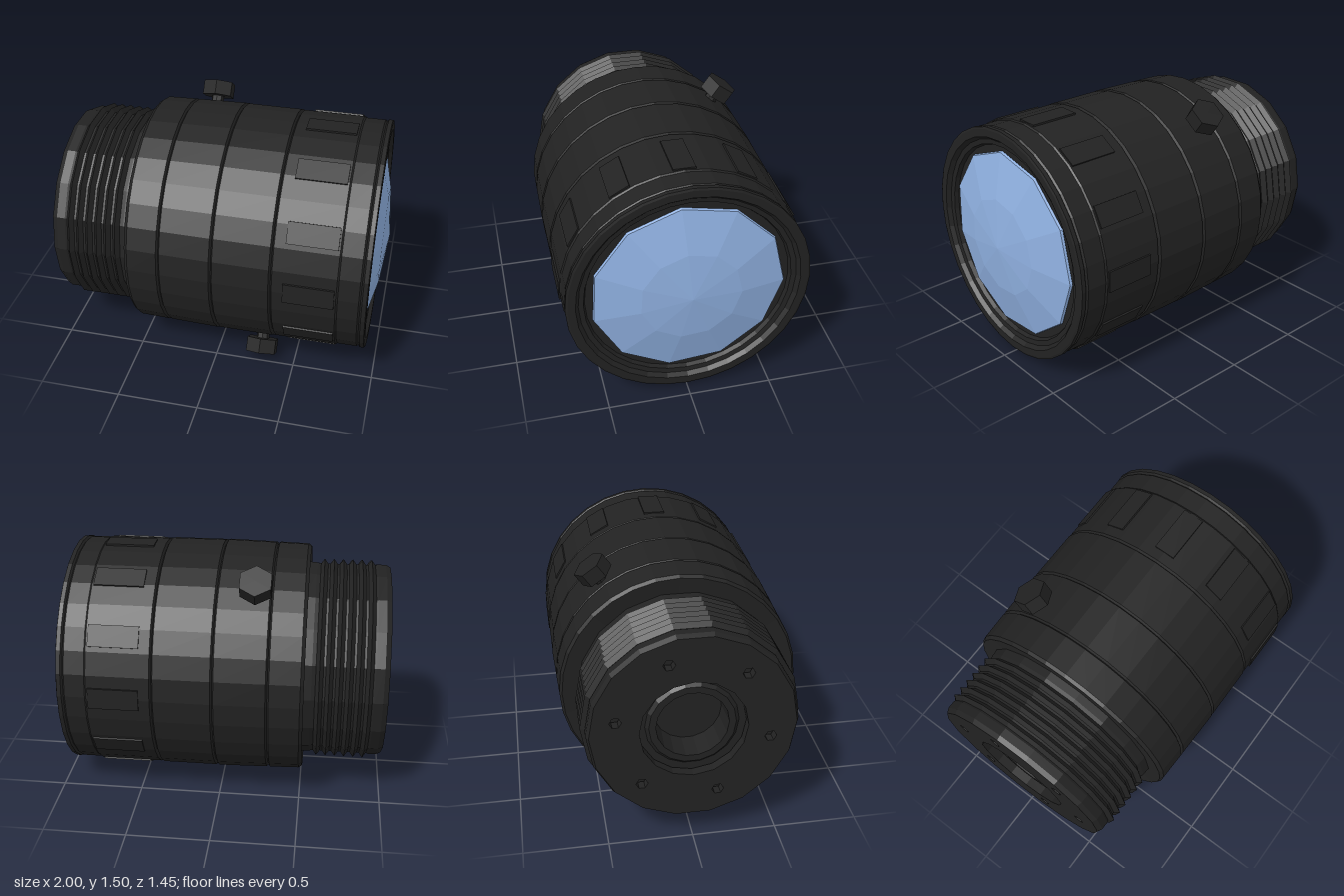
import * as THREE from 'three';

const AXIS_Y = 0.755;
const black = new THREE.MeshStandardMaterial({ color: 0x222222, flatShading: true, side: THREE.DoubleSide });
const blue = new THREE.MeshStandardMaterial({ color: 0x8fb0e0, flatShading: true, side: THREE.DoubleSide });

// Revolves [x, radius] pairs around the optical (x) axis
function turned(name, profile, sides, material, phase = 0) {
  const pts = profile.map(([x, r]) => new THREE.Vector2(r, x));
  const geo = new THREE.LatheGeometry(pts, sides, phase);
  geo.rotateZ(-Math.PI / 2);
  const mesh = new THREE.Mesh(geo, material);
  mesh.name = name;
  return mesh;
}

function ringPoints(radius, sides, cx = 0, cy = 0) {
  return Array.from({ length: sides }, (_, i) => {
    const a = (i / sides) * Math.PI * 2;
    return new THREE.Vector2(cx + radius * Math.cos(a), cy + radius * Math.sin(a));
  });
}

// Hexagonal thumbscrew pointing outwards at a given angle round the barrel
function thumbscrew(name, x, angle) {
  const g = new THREE.Group();
  g.name = name;
  const stem = new THREE.Mesh(new THREE.CylinderGeometry(0.04, 0.04, 0.12, 8), black);
  stem.name = 'screwStem';
  stem.position.y = 0.72;
  const head = new THREE.Mesh(new THREE.CylinderGeometry(0.105, 0.105, 0.09, 6), black);
  head.name = 'screwHead';
  head.position.y = 0.8;
  g.add(stem, head);
  g.position.x = x;
  g.rotation.x = angle;
  return g;
}

export function createModel() {
  const model = new THREE.Group();
  model.name = 'cameraLens';
  const lens = new THREE.Group();
  lens.name = 'lensAssembly';
  lens.position.y = AXIS_Y;
  model.add(lens);

  // Threaded rear mount with a stepped central opening
  const mount = [[-0.78, 0], [-0.78, 0.2], [-0.95, 0.21], [-0.95, 0.25], [-0.93, 0.27],
    [-0.93, 0.595], [-1, 0.59], [-0.97, 0.605], [-0.92, 0.605]];
  for (let i = 0; i < 6; i++) {
    const x = -0.885 + i * 0.058;
    mount.push([x - 0.022, 0.6], [x, 0.63], [x + 0.022, 0.6]);
  }
  mount.push([-0.55, 0.605], [-0.49, 0.61]);
  lens.add(turned('threadedMount', mount, 18, black));

  // Rear plate with the opening and six screw holes
  const plate = new THREE.Shape(ringPoints(0.59, 18));
  plate.holes.push(new THREE.Path(ringPoints(0.31, 16)));
  for (let i = 0; i < 6; i++) {
    const a = (i / 6) * Math.PI * 2 + 0.2;
    plate.holes.push(new THREE.Path(ringPoints(0.035, 6, 0.45 * Math.cos(a), 0.45 * Math.sin(a))));
  }
  const plateGeo = new THREE.ExtrudeGeometry(plate, { depth: 0.06, bevelEnabled: false });
  plateGeo.rotateY(Math.PI / 2);
  const plateMesh = new THREE.Mesh(plateGeo, black);
  plateMesh.name = 'rearPlate';
  plateMesh.position.x = -1;
  lens.add(plateMesh);

  // Main barrel with shallow grooves between rings and a recessed front rim
  lens.add(turned('barrel', [
    [-0.5, 0.58], [-0.51, 0.7], [-0.49, 0.715], [-0.31, 0.72], [-0.3, 0.705], [-0.29, 0.72],
    [0.01, 0.727], [0.02, 0.71], [0.03, 0.725], [0.365, 0.725], [0.375, 0.705], [0.385, 0.722],
    [0.76, 0.722], [0.77, 0.715], [0.89, 0.715], [0.9, 0.705], [0.91, 0.718], [0.935, 0.718],
    [0.94, 0.705], [0.94, 0.66], [0.915, 0.64], [0.91, 0.61], [0.885, 0.6], [0.885, 0],
  ], 32, black));

  // Grip pads round the focus ring
  const pads = new THREE.Group();
  pads.name = 'gripPads';
  for (let i = 0; i < 12; i++) {
    const pivot = new THREE.Group();
    pivot.rotation.x = (i / 12) * Math.PI * 2;
    const pad = new THREE.Mesh(new THREE.BoxGeometry(0.3, 0.04, 0.13), black);
    pad.name = 'gripPad';
    pad.position.set(0.6, 0.707, 0);
    pivot.add(pad);
    pads.add(pivot);
  }
  lens.add(pads);

  // Faceted front glass
  lens.add(turned('frontGlass', [[0.89, 0.575], [0.905, 0.57], [0.97, 0.3], [1, 0]], 11, blue, -Math.PI / 2 + 0.09));

  // Locking thumbscrews
  lens.add(thumbscrew('upperThumbscrew', -0.21, -0.622));
  lens.add(thumbscrew('lowerThumbscrew', 0.29, 2.53));

  return model;
}
